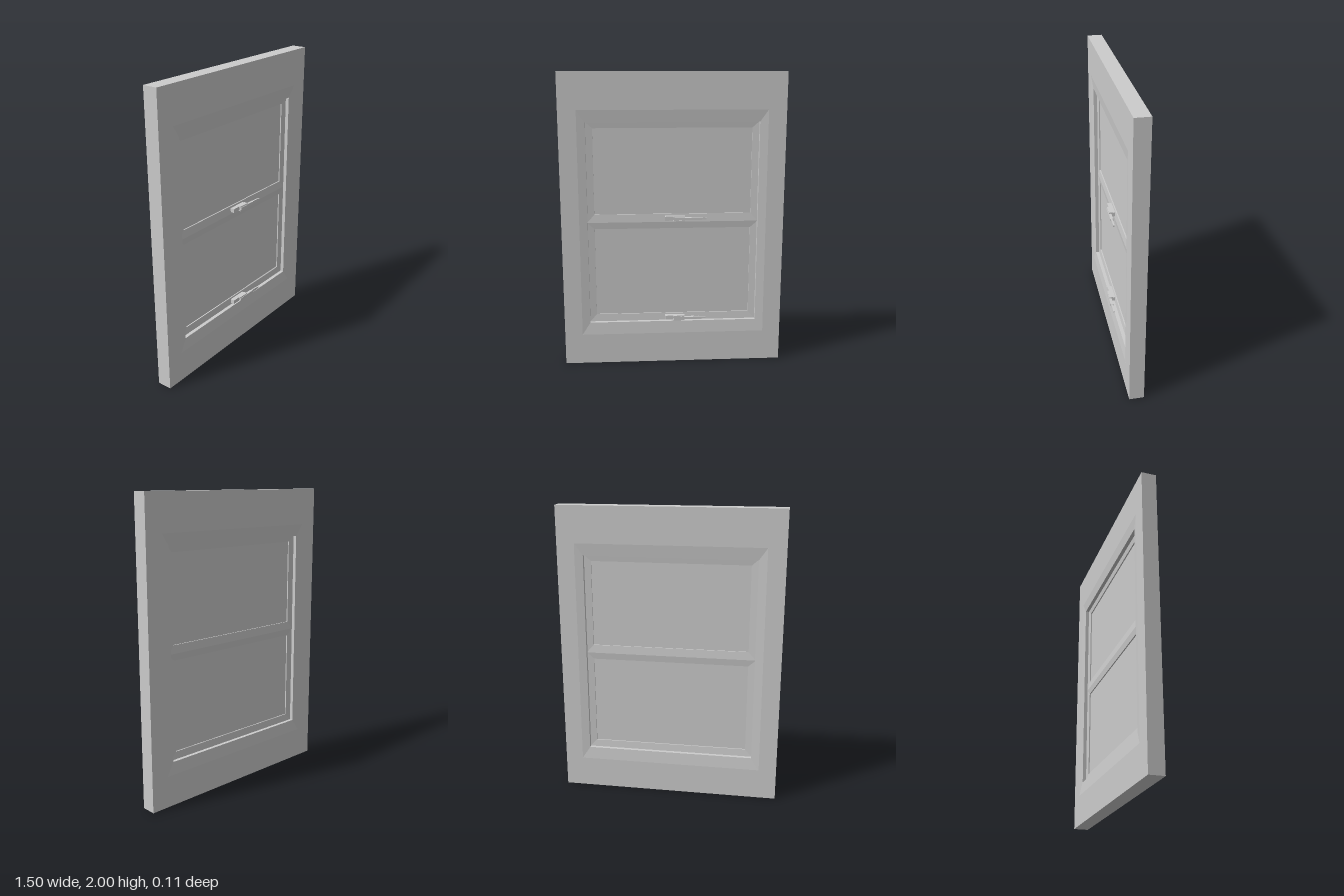
import * as THREE from 'three';

const material = new THREE.MeshStandardMaterial({ color: 0xcccccc, flatShading: true });

function mesh(name, geometry, x = 0, y = 0, z = 0) {
  const m = new THREE.Mesh(geometry, material);
  m.name = name;
  m.position.set(x, y, z);
  return m;
}

// Closed frame swept through nested rectangles; each ring is [halfWidth, bottom, top, z].
function rectLoft(rings) {
  const pos = [];
  const corners = ([w, b, t, z]) => [[-w, b, z], [w, b, z], [w, t, z], [-w, t, z]];
  rings.forEach((ring, k) => {
    const a = corners(ring), c = corners(rings[(k + 1) % rings.length]);
    for (let i = 0; i < 4; i++) {
      const j = (i + 1) % 4;
      pos.push(...a[i], ...a[j], ...c[j], ...a[i], ...c[j], ...c[i]);
    }
  });
  const g = new THREE.BufferGeometry();
  g.setAttribute('position', new THREE.Float32BufferAttribute(pos, 3));
  g.computeVertexNormals();
  return g;
}

// Front half of a profile, completed by its mirror image at the back.
function mirrored(rings) {
  return rings.concat(rings.map(([w, b, t, z]) => [w, b, t, -z]).reverse());
}

function box(name, x0, x1, y0, y1, z0, z1) {
  return mesh(name, new THREE.BoxGeometry(x1 - x0, y1 - y0, z1 - z0),
    (x0 + x1) / 2, (y0 + y1) / 2, (z0 + z1) / 2);
}

// Sash with sloping rails around a flat pane
function createSash(name, bottom, top, paneBottom, paneTop) {
  const sash = new THREE.Group();
  sash.name = name;
  sash.add(mesh(name + 'Frame', rectLoft(mirrored([
    [0.58, bottom, top, 0.018],
    [0.53, paneBottom, paneTop, 0.013],
    [0.53, paneBottom, paneTop, 0.004],
  ]))));
  sash.add(box(name + 'Pane', -0.535, 0.535, paneBottom - 0.005, paneTop + 0.005, -0.005, 0.005));
  return sash;
}

// Latch: mounting plate, pivot block and tapered lever
function createLatch(name, y) {
  const latch = new THREE.Group();
  latch.name = name;
  latch.position.y = y;
  latch.add(box('latchPlate', -0.055, 0.08, -0.014, 0.014, 0.01, 0.045));
  for (const s of [-1, 1]) latch.add(box('latchCheek', 0, 0.08, s * 0.013 - 0.004, s * 0.013 + 0.004, 0.03, 0.057));
  latch.add(box('latchPivot', 0.005, 0.145, -0.008, 0.008, 0.04, 0.06));
  const lever = new THREE.Shape([[0.06, -0.009], [0.18, -0.009], [0.225, -0.005], [0.225, 0.005], [0.18, 0.009], [0.06, 0.009]]
    .map(([x, v]) => new THREE.Vector2(x, v)));
  latch.add(mesh('latchLever', new THREE.ExtrudeGeometry(lever, { depth: 0.01, bevelEnabled: false }), 0, 0, 0.046));
  return latch;
}

export function createModel() {
  const model = new THREE.Group();
  model.name = 'sashWindow';
  model.position.z = -0.005;

  // Wall panel with a shallow sloped surround on both faces
  model.add(mesh('wallPanel', rectLoft(mirrored([
    [0.75, 0, 2, 0.05],
    [0.63, 0.21, 1.755, 0.05],
    [0.575, 0.295, 1.675, 0.042],
    [0.575, 0.295, 1.675, 0.01],
  ]))));

  model.add(createSash('upperSash', 1.0, 1.68, 1.055, 1.635));
  model.add(createSash('lowerSash', 0.29, 1.0, 0.345, 0.955));
  model.add(createLatch('upperLatch', 1.028));
  model.add(createLatch('lowerLatch', 0.32));
  return model;
}
